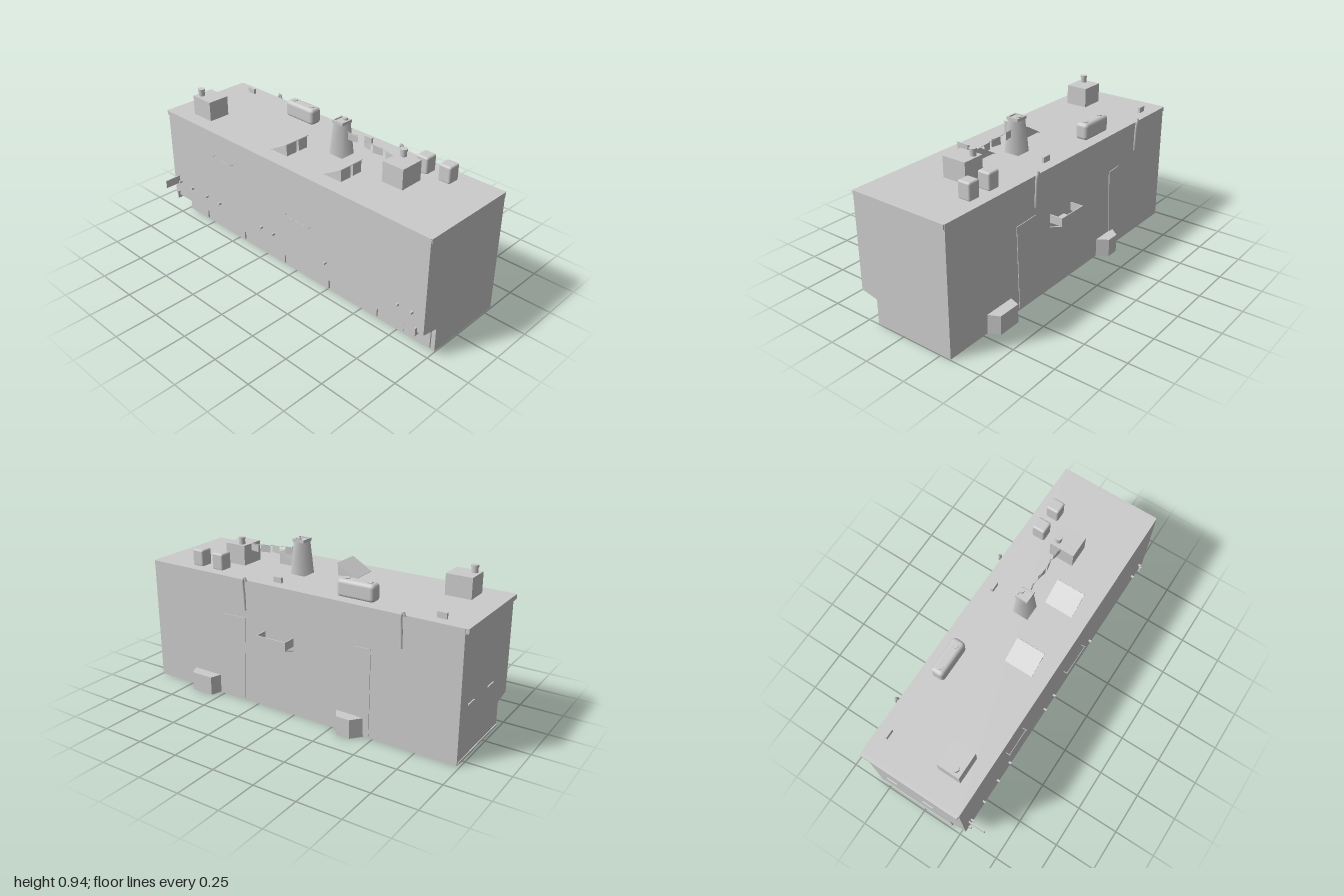
import * as THREE from 'three';
import { RoundedBoxGeometry } from 'three/addons/geometries/RoundedBoxGeometry.js';

const grey = new THREE.MeshStandardMaterial({ color: 0xcccccc, side: THREE.DoubleSide });
const ROOF = 0.73, LEFT = 0.312, RIGHT = -0.29;

export function createModel() {
  const model = new THREE.Group();

  const add = (name, geometry, x = 0, y = 0, z = 0) => {
    const mesh = new THREE.Mesh(geometry, grey);
    mesh.name = name;
    mesh.position.set(x, y, z);
    model.add(mesh);
    return mesh;
  };
  // box from its minimum and maximum corners
  const box = (name, x0, x1, y0, y1, z0, z1) =>
    add(name, new THREE.BoxGeometry(x1 - x0, y1 - y0, z1 - z0), (x0 + x1) / 2, (y0 + y1) / 2, (z0 + z1) / 2);
  const cylinder = (name, r, y0, y1, x, z, sides = 12) =>
    add(name, new THREE.CylinderGeometry(r, r, y1 - y0, sides), x, (y0 + y1) / 2, z);
  const outline = (points) => new THREE.Shape(points.map(([x, y]) => new THREE.Vector2(x, y)));
  const extrude = (points, depth) => new THREE.ExtrudeGeometry(outline(points), { depth, bevelEnabled: false });
  // straight rod between two points
  const rod = (name, a, b, r) => {
    const curve = new THREE.LineCurve3(new THREE.Vector3(...a), new THREE.Vector3(...b));
    return add(name, new THREE.TubeGeometry(curve, 1, r, 6));
  };

  // main block, undercut along the right side
  add('building', extrude([
    [-0.185, 0], [LEFT, 0], [LEFT, ROOF], [RIGHT, ROOF], [RIGHT, 0.165], [-0.185, 0.145],
  ], 1.978), 0, 0, -0.983);

  // cornices and back plinth
  box('frontCornice', -0.287, 0.308, 0.703, ROOF, 0.985, 1);
  box('backCornice', -0.287, 0.308, 0.703, ROOF, -1, -0.97);
  box('backPlinth', -0.18, 0.3, 0.004, 0.016, -0.988, -0.97);
  for (const x of [0.19, -0.05]) box('backLedge', x - 0.035, x + 0.035, 0.3, 0.306, -0.99, -0.97);

  // shop panels in the undercut
  for (let i = 0; i < 11; i++) {
    const z = -0.97 + i * 0.177;
    box('shopPanel', i % 2 ? -0.187 : -0.194, -0.18, 0.012, 0.14, z, z + 0.17);
  }

  // tapering wall strips on the left side
  for (const [zTop0, zTop1, zLow0, zLow1] of [[0.325, 0.482, 0.345, 0.46], [-0.48, -0.378, -0.478, -0.41]]) {
    const strip = add('wallStrip', extrude([[-zLow1, 0.012], [-zLow0, 0.012], [-zTop0, 0.51], [-zTop1, 0.505]], 0.006), LEFT - 0.002);
    strip.rotation.y = Math.PI / 2;
  }

  // ground-level bays, narrower at the outside
  for (const [z0, z1, inset0, inset1] of [[0.525, 0.725, 0.025, 0.035], [-0.455, -0.265, 0.06, 0.05]]) {
    const bay = add('bay', extrude([[0.3, -z0], [0.3, -z1], [0.375, -z1 + inset1], [0.375, -z0 - inset0]], 0.11));
    bay.rotation.x = -Math.PI / 2;
  }

  // balcony with a hatch in its floor
  box('balconyFloor', 0.305, 0.39, 0.412, 0.418, 0.07, 0.195);
  box('balconyFloor', 0.358, 0.39, 0.412, 0.418, 0, 0.07);
  box('balconyFront', 0.384, 0.39, 0.412, 0.46, 0, 0.195);
  for (const z of [0, 0.189]) {
    box('balconySide', 0.305, 0.39, 0.412, 0.46, z, z + 0.006);
    rod('balconyBrace', [0.388, 0.413, z + 0.003], [0.31, 0.384, z + 0.003], 0.003);
  }

  // leaning vent pipes with hooked heads
  for (const z of [0.325, -0.652]) {
    const path = new THREE.CatmullRomCurve3([
      [0.313, 0.555, z], [0.317, 0.64, z], [0.322, 0.73, z], [0.322, 0.748, z - 0.009], [0.32, 0.725, z - 0.018],
    ].map((p) => new THREE.Vector3(...p)));
    add('ventPipe', new THREE.TubeGeometry(path, 20, 0.0075, 8));
  }

  // roof huts with flues
  for (const [x0, x1, z0, z1, fx, fz] of [[-0.203, -0.07, -0.842, -0.692, -0.165, -0.81], [-0.042, 0.104, 0.487, 0.62, 0.075, 0.525]]) {
    box('roofHut', x0, x1, ROOF - 0.005, 0.847, z0, z1);
    cylinder('flue', 0.018, 0.84, 0.883, fx, fz);
    cylinder('flueCap', 0.021, 0.878, 0.889, fx, fz);
  }

  // water tanks
  for (const z of [0.57, 0.715])
    add('waterTank', new RoundedBoxGeometry(0.078, 0.1, 0.076, 3, 0.012), 0.21, 0.774, z);

  // long rounded ventilation unit with two fans
  add('ventilationUnit', new RoundedBoxGeometry(0.078, 0.1, 0.222, 3, 0.022), 0.21, 0.772, -0.34);
  for (const z of [-0.41, -0.27]) cylinder('fan', 0.018, 0.815, 0.826, 0.21, z, 16);

  // paired wedge skylights, upright glass to the front
  for (const z of [-0.052, 0.347]) {
    for (const [x0, x1] of [[-0.195, -0.123], [-0.105, -0.042]]) {
      const wedge = add('skylight', extrude([[0, 0], [0.12, 0], [0, 0.07]], x1 - x0), x0, ROOF - 0.002, z - 0.003);
      wedge.rotation.y = Math.PI / 2;
      wedge.position.x = x0;
    }
    const slope = add('skylightRoof', new THREE.BoxGeometry(0.168, 0.004, 0.142), -0.118, ROOF + 0.035, z - 0.062);
    slope.rotation.x = -Math.atan2(0.07, 0.122);
  }

  // tapering chimney stack with rim and pot
  const stack = new THREE.CylinderGeometry(0.032 * Math.SQRT2, 0.047 * Math.SQRT2, 0.2, 4);
  stack.rotateY(Math.PI / 4);
  add('chimney', stack, 0.038, 0.825, 0.13);
  for (const s of [-1, 1]) {
    box('chimneyRim', 0.038 + s * 0.033 - 0.004, 0.038 + s * 0.033 + 0.004, 0.915, 0.932, 0.093, 0.167);
    box('chimneyRim', 0.001, 0.075, 0.915, 0.932, 0.13 + s * 0.033 - 0.004, 0.13 + s * 0.033 + 0.004);
  }
  cylinder('chimneyPot', 0.013, 0.92, 0.938, 0.06, 0.135);

  // line of cloths from hut to chimney
  rod('clothesLine', [0.045, 0.847, 0.49], [0.042, 0.872, 0.16], 0.0015);
  [0.457, 0.38, 0.307, 0.205].forEach((z, i) => {
    const cloth = add('cloth', new THREE.PlaneGeometry(0.06, 0.043), 0.044, 0.828 + i * 0.007, z);
    cloth.rotation.set(0, Math.PI / 2 + (i % 2 ? 0.2 : -0.2), 0);
  });

  // small roof vents
  for (const z of [-0.832, 0.145]) box('roofVent', 0.237, 0.251, ROOF - 0.005, 0.762, z - 0.026, z + 0.026);

  // hanging rails on the right side
  for (const [z0, z1, y] of [[-0.56, -0.4, 0.588], [0.03, 0.22, 0.45]]) {
    rod('railBar', [-0.312, y, z0], [-0.312, y, z1], 0.002);
    for (const z of [z0, z1]) rod('railArm', [-0.285, y - 0.004, z], [-0.316, y, z], 0.002);
    for (const t of [0.25, 0.6]) {
      const z = z0 + (z1 - z0) * t;
      const cloth = add('hangingCloth', new THREE.PlaneGeometry(0.045, 0.05), -0.303, y - 0.026, z);
      cloth.rotation.y = Math.PI / 2;
    }
  }

  // small hooks, hanging sign and low brackets on the right side
  for (const z of [-0.92, -0.8, -0.66, -0.54, -0.17, -0.07, 0.33, 0.83, 0.92])
    box('wallHook', -0.308, RIGHT + 0.005, 0.265, 0.277, z - 0.005, z + 0.005);
  box('hangingSign', -0.392, RIGHT + 0.005, 0.257, 0.306, -0.941, -0.935);
  for (const z of [-0.95, 0.95]) box('lowBracket', -0.305, -0.19, 0.146, 0.194, z - 0.004, z + 0.004);

  return model;
}
